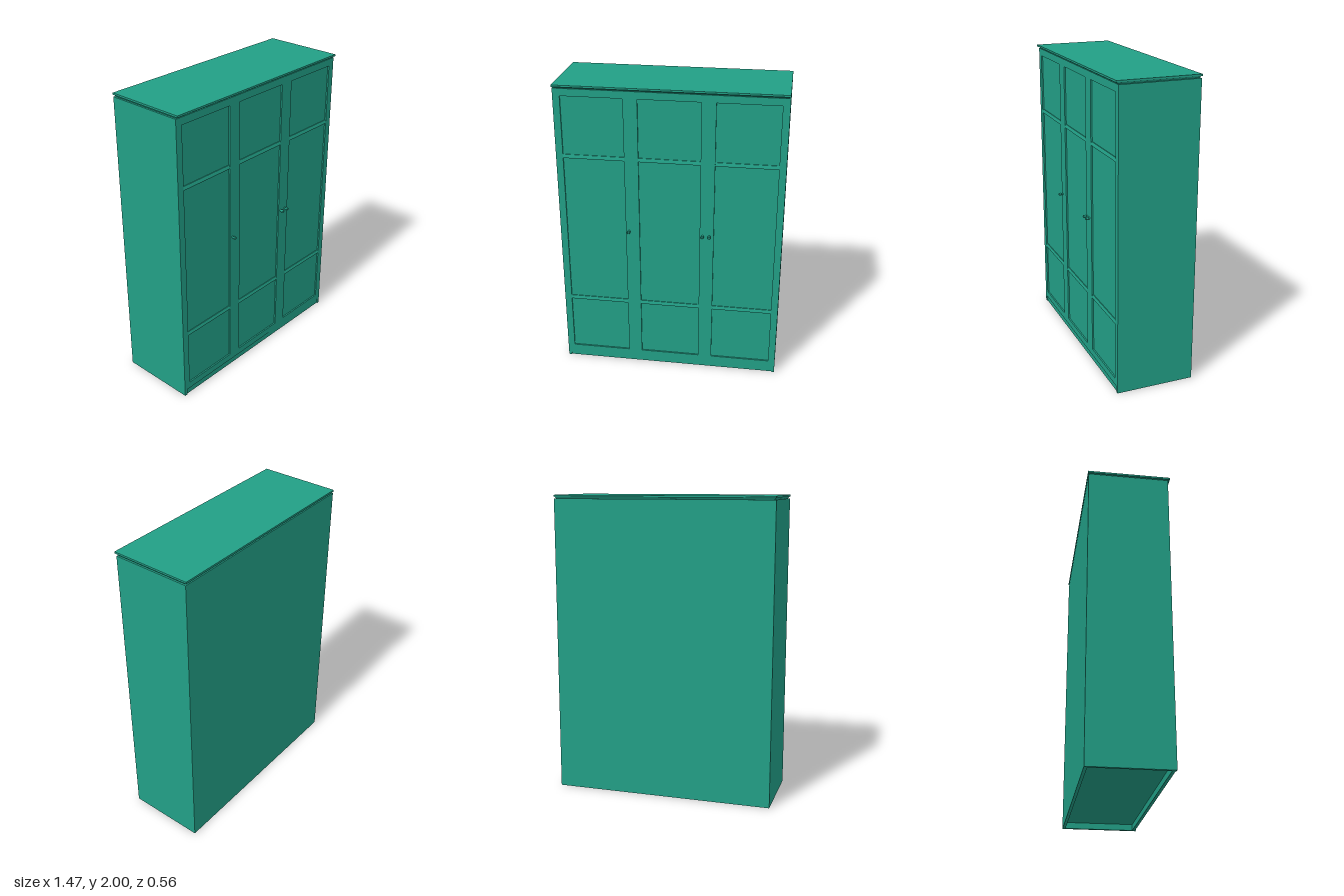
import * as THREE from 'three';

const W = 1.468, BACK = -0.275, FRONT = 0.248, RECESS = 0.01;
const BASE = 0.042, TOP = 1.976;

export function createModel() {
  const wardrobe = new THREE.Group();
  wardrobe.name = 'wardrobe';
  const paint = new THREE.MeshStandardMaterial({ color: 0x229f86, flatShading: true });

  const add = (parent, name, geometry, x = 0, y = 0, z = 0) => {
    const mesh = new THREE.Mesh(geometry, paint);
    mesh.name = name;
    mesh.position.set(x, y, z);
    parent.add(mesh);
    return mesh;
  };
  // Box given by its lower and upper corners
  const box = (parent, name, x0, x1, y0, y1, z0, z1) => add(parent, name,
    new THREE.BoxGeometry(x1 - x0, y1 - y0, z1 - z0), (x0 + x1) / 2, (y0 + y1) / 2, (z0 + z1) / 2);

  // Carcass, its front face forming the backs of the door panels
  box(wardrobe, 'carcass', -W / 2, W / 2, BASE, TOP, BACK, FRONT - RECESS);

  // Hollow base: side walls, back wall and slightly recessed plinth
  const t = 0.02;
  for (const s of [-1, 1]) {
    const x = s * (W / 2 - t / 2);
    box(wardrobe, s > 0 ? 'leftBaseWall' : 'rightBaseWall', x - t / 2, x + t / 2, 0, BASE, BACK, FRONT);
  }
  box(wardrobe, 'backBaseWall', -W / 2 + t, W / 2 - t, 0, BASE, BACK, BACK + t);
  box(wardrobe, 'plinth', -W / 2 + t, W / 2 - t, 0, BASE, FRONT - 0.006 - t, FRONT - 0.006);

  // Doors: a frame with one tall opening, crossed by two bevelled rails
  const doorW = W / 3, openW = 0.398, openLow = 0.088, openHigh = 1.928;
  const rect = (Type, x, y0, y1) => new Type([[-x, y0], [x, y0], [x, y1], [-x, y1]]
    .map(([px, py]) => new THREE.Vector2(px, py)));
  const frameShape = rect(THREE.Shape, doorW / 2, BASE, TOP);
  frameShape.holes.push(rect(THREE.Path, openW / 2, openLow, openHigh));
  const frameGeometry = new THREE.ExtrudeGeometry(frameShape, { depth: RECESS, bevelEnabled: false });

  // Rail section: u runs back from the front face, v runs up
  const railShape = new THREE.Shape([[0, 0], [RECESS, 0], [RECESS, 0.024], [0.005, 0.024], [0, 0.006]]
    .map(([u, v]) => new THREE.Vector2(u, v)));
  const railGeometry = new THREE.ExtrudeGeometry(railShape, { depth: openW, bevelEnabled: false });
  railGeometry.rotateY(Math.PI / 2).translate(-openW / 2, 0, 0);

  // Knob: narrow stem and wider head, turned towards the front
  const knobGeometry = new THREE.LatheGeometry([[0, 0], [0.007, 0], [0.007, 0.01], [0.01, 0.013], [0.01, 0.027], [0.007, 0.03], [0, 0.03]]
    .map(([r, h]) => new THREE.Vector2(r, h)), 12).rotateX(Math.PI / 2);

  const knobOffsets = [0.221, 0.218, -0.227];
  knobOffsets.forEach((knobX, i) => {
    const door = new THREE.Group();
    door.name = ['rightDoor', 'middleDoor', 'leftDoor'][i];
    door.position.x = (i - 1) * doorW;
    add(door, 'doorFrame', frameGeometry, 0, 0, FRONT - RECESS);
    add(door, 'lowerRail', railGeometry, 0, 0.472, FRONT);
    add(door, 'upperRail', railGeometry, 0, 1.517, FRONT);
    add(door, 'knob', knobGeometry, knobX, 1.025, FRONT);
    wardrobe.add(door);
  });

  // Cornice: a flared neck under a thin top board
  const neckHeight = 0.012, slabLow = TOP + neckHeight;
  const zBack = -0.279, zFront = 0.262;
  const neck = new THREE.BoxGeometry(W, neckHeight, 1);
  const p = neck.attributes.position;
  for (let i = 0; i < p.count; i++) {
    const upper = p.getY(i) > 0, inset = upper ? 0.004 : 0.012;
    p.setX(i, Math.sign(p.getX(i)) * (W / 2 - inset));
    p.setZ(i, p.getZ(i) > 0 ? (upper ? zFront - 0.006 : FRONT - 0.006) : BACK + inset);
  }
  neck.computeVertexNormals();
  add(wardrobe, 'corniceNeck', neck, 0, TOP + neckHeight / 2, 0);
  box(wardrobe, 'topBoard', -W / 2, W / 2, slabLow, 2, zBack, zFront);

  return wardrobe;
}
